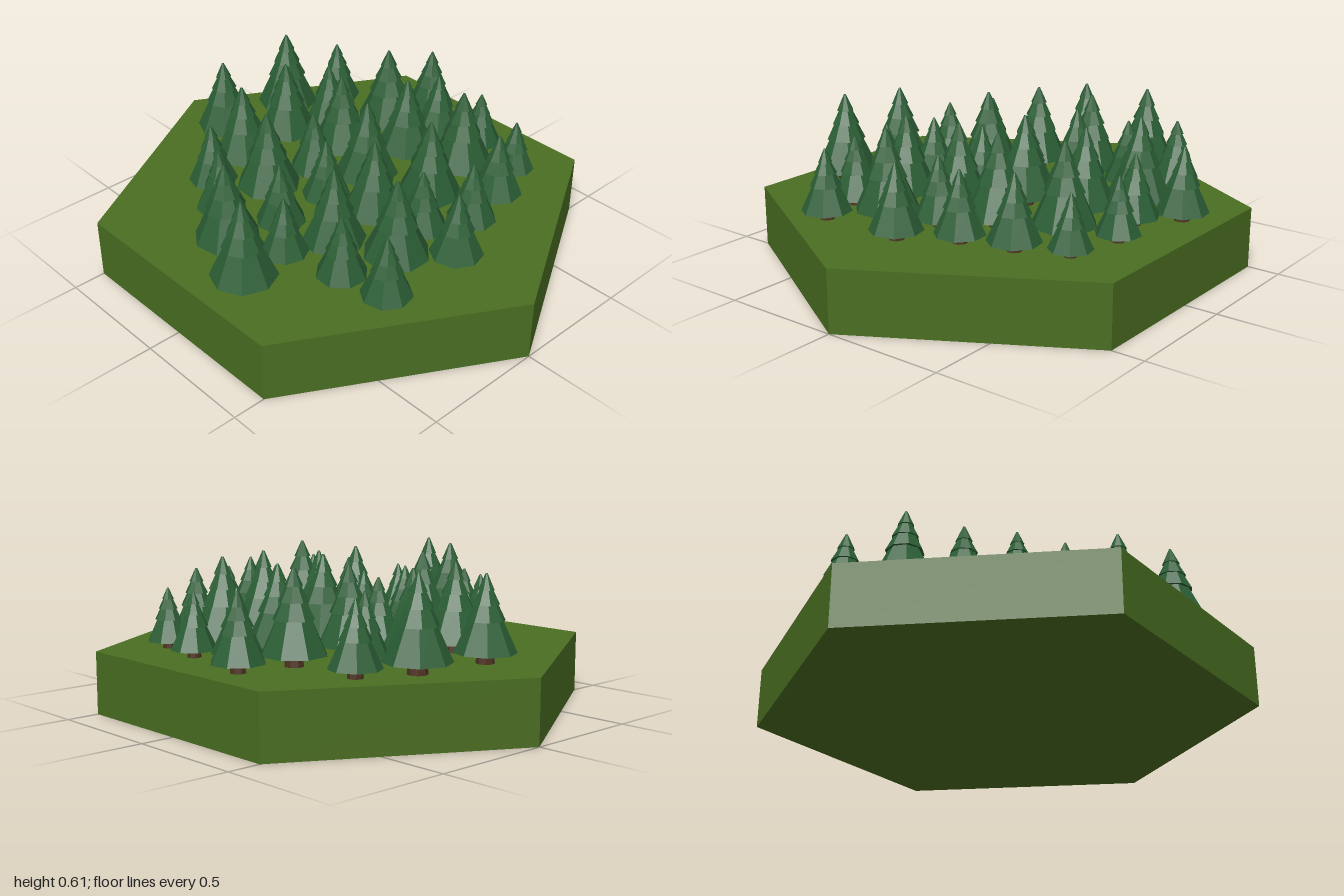
import * as THREE from 'three';

// Tree positions and canopy radii: [x, z, radius]
const TREES = [
  [-0.06, -0.69, 0.12], [0.27, -0.66, 0.13], [0.48, -0.56, 0.1],
  [-0.36, -0.4, 0.1], [-0.15, -0.455, 0.125], [0.11, -0.48, 0.125], [0.32, -0.44, 0.1],
  [-0.46, -0.225, 0.1], [-0.23, -0.205, 0.13], [0, -0.185, 0.1], [0.205, -0.235, 0.125],
  [0.495, -0.25, 0.13], [0.72, -0.205, 0.105],
  [-0.58, -0.035, 0.13], [-0.35, 0.01, 0.1], [-0.1, 0, 0.1], [0.12, 0.005, 0.13],
  [0.385, -0.03, 0.125], [0.6, -0.05, 0.1],
  [-0.685, 0.19, 0.13], [-0.47, 0.17, 0.095], [-0.29, 0.25, 0.125], [-0.045, 0.215, 0.125],
  [0.2, 0.28, 0.13], [0.46, 0.215, 0.13], [0.655, 0.145, 0.09],
  [-0.41, 0.42, 0.1], [-0.185, 0.48, 0.13], [0.02, 0.415, 0.1], [0.2, 0.51, 0.1],
  [0.41, 0.455, 0.105], [0.605, 0.38, 0.085], [-0.375, 0.62, 0.1], [-0.01, 0.625, 0.105],
];

// Canopy tiers for a tree of radius 1: [bottom y, top y, bottom radius, top radius]
const TIERS = [
  [0.33, 1.42, 1, 0.5],
  [1.34, 1.92, 0.62, 0.34],
  [1.84, 2.36, 0.44, 0.18],
  [2.28, 2.8, 0.27, 0.035],
];

const BASE_HEIGHT = 0.25;

function frustum(y0, y1, r0, r1, sides) {
  return new THREE.CylinderGeometry(r1, r0, y1 - y0, sides).translate(0, (y0 + y1) / 2, 0);
}

export function createModel() {
  const model = new THREE.Group();
  model.name = 'forestTile';
  const grass = new THREE.MeshStandardMaterial({ color: 0x4a6e22, flatShading: true });
  const needles = new THREE.MeshStandardMaterial({ color: 0x2b5e35, flatShading: true });
  const bark = new THREE.MeshStandardMaterial({ color: 0x4f3322, flatShading: true });

  // Hexagonal ground slab with corners toward front and back
  const ground = new THREE.Mesh(frustum(0, BASE_HEIGHT, 1, 1, 6), grass);
  ground.name = 'ground';
  model.add(ground);

  // Geometry shared by all the trees
  const trunkGeometry = frustum(-0.02, 0.5, 0.3, 0.26, 8);
  const tierGeometries = TIERS.map((tier) => frustum(...tier, 8));

  TREES.forEach(([x, z, radius], i) => {
    const tree = new THREE.Group();
    tree.name = `tree${i + 1}`;
    const trunk = new THREE.Mesh(trunkGeometry, bark);
    trunk.name = 'trunk';
    tree.add(trunk);
    tierGeometries.forEach((geometry, t) => {
      const tier = new THREE.Mesh(geometry, needles);
      tier.name = `canopyTier${t + 1}`;
      tier.rotation.y = t * 0.12;
      tree.add(tier);
    });
    tree.position.set(x, BASE_HEIGHT, z);
    tree.scale.setScalar(radius);
    tree.rotation.y = i * 2.4;
    model.add(tree);
  });

  return model;
}
